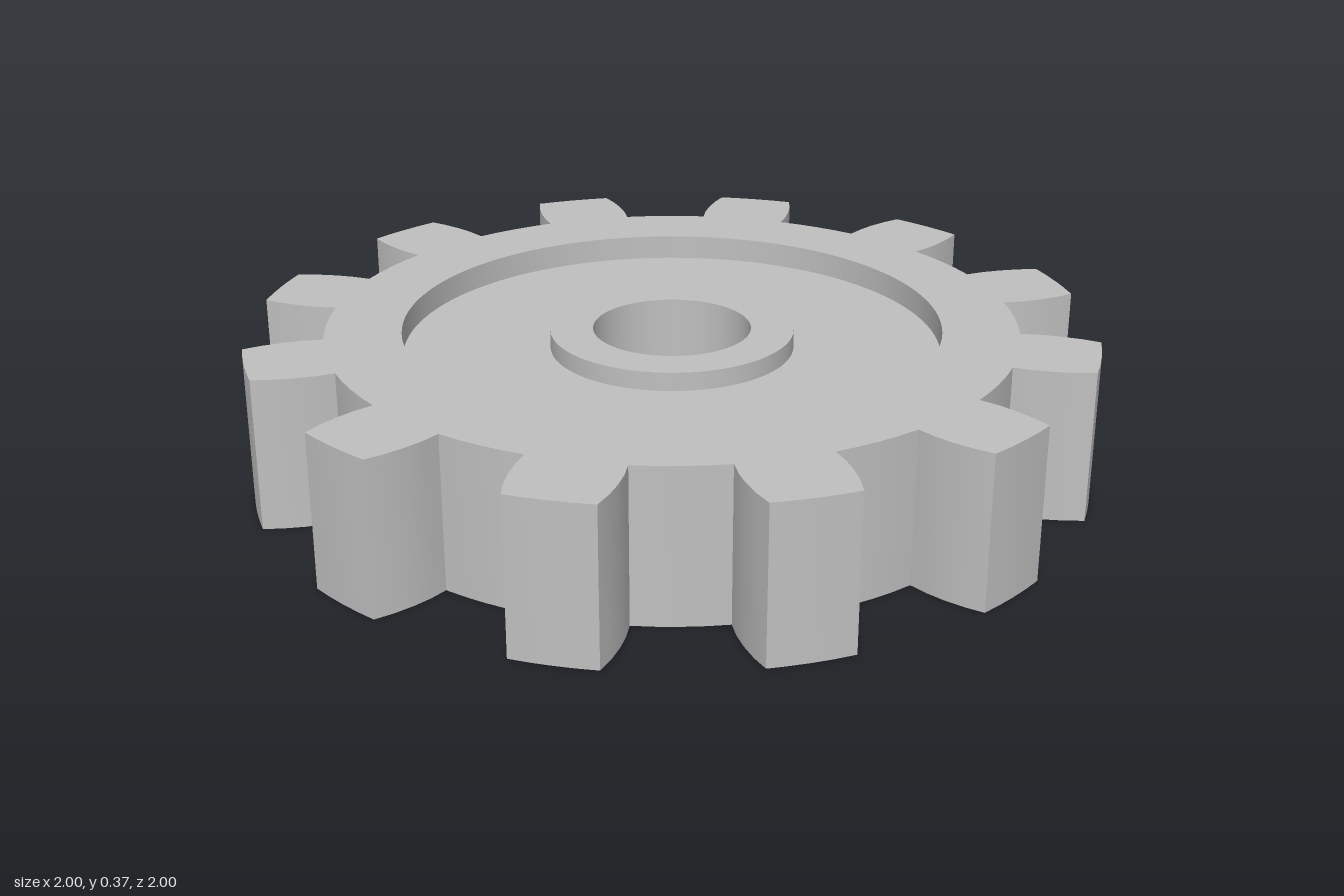
import * as THREE from 'three';
import { toCreasedNormals } from 'three/addons/utils/BufferGeometryUtils.js';

const TEETH = 12, HEIGHT = 0.37, ROOT = 0.828, TIP = 1.0138;
const RECESS = 0.645, HUB = 0.293, BORE = 0.19;
const WEB_INSET = 0.061, HUB_INSET = 0.016;

// Curved tooth flank: radius and half angle in degrees, root to tip
const FLANK = [[ROOT, 7.6], [0.875, 7.5], [0.92, 7.1], [0.97, 6.4], [TIP, 5.55]];

function gearOutline() {
  const points = [];
  const add = (r, degrees) => {
    const a = THREE.MathUtils.degToRad(degrees);
    points.push(new THREE.Vector2(r * Math.cos(a), r * Math.sin(a)));
  };
  const pitch = 360 / TEETH;
  for (let i = 0; i < TEETH; i++) {
    const mid = (i + 0.5) * pitch;
    FLANK.forEach(([r, half]) => add(r, mid - half));
    for (const t of [-0.5, 0, 0.5]) add(TIP, mid + t * 5.55);
    [...FLANK].reverse().forEach(([r, half]) => add(r, mid + half));
    // root arc up to the next tooth
    for (let k = 1; k < 4; k++) add(ROOT, mid + 7.6 + (pitch - 15.2) * k / 4);
  }
  return new THREE.Shape(points);
}

export function createModel() {
  const group = new THREE.Group();
  group.name = 'gear';
  const steel = new THREE.MeshStandardMaterial({ color: 0xc0c0c0 });
  steel.name = 'grey steel';

  // Toothed rim around the recess
  const outline = gearOutline();
  outline.holes.push(new THREE.Path().absarc(0, 0, RECESS, 0, Math.PI * 2, true));
  const rimGeometry = new THREE.ExtrudeGeometry(outline, { depth: HEIGHT, bevelEnabled: false, curveSegments: 96 });
  rimGeometry.rotateX(-Math.PI / 2);
  const rim = new THREE.Mesh(toCreasedNormals(rimGeometry, 0.4), steel);
  rim.name = 'toothedRim';
  group.add(rim);

  // Thin web and raised hub with a through bore, recessed on both faces
  const profile = [
    [BORE, HUB_INSET], [HUB, HUB_INSET], [HUB, WEB_INSET], [RECESS + 0.01, WEB_INSET],
    [RECESS + 0.01, HEIGHT - WEB_INSET], [HUB, HEIGHT - WEB_INSET],
    [HUB, HEIGHT - HUB_INSET], [BORE, HEIGHT - HUB_INSET], [BORE, HUB_INSET],
  ].map(([r, y]) => new THREE.Vector2(r, y));
  const web = new THREE.Mesh(toCreasedNormals(new THREE.LatheGeometry(profile, 96), 0.4), steel);
  web.name = 'webAndHub';
  group.add(web);

  return group;
}
